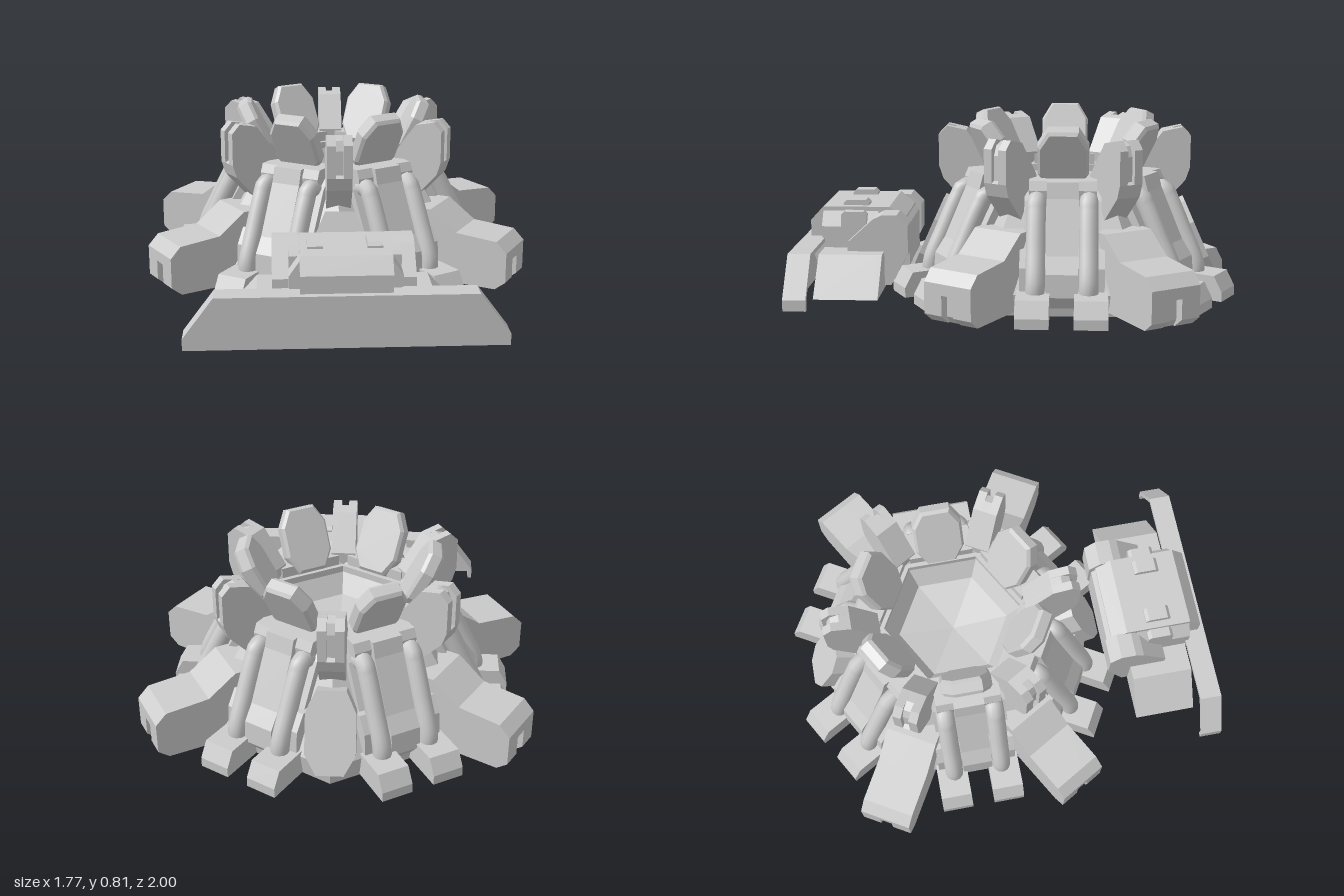
import * as THREE from 'three';

const material = new THREE.MeshStandardMaterial({ color: 0xcccccc, flatShading: true });
const smooth = new THREE.MeshStandardMaterial({ color: 0xcccccc });
const twoSided = new THREE.MeshStandardMaterial({ color: 0xcccccc, flatShading: true, side: THREE.DoubleSide });

const outline = (pts) => new THREE.Shape(pts.map(([x, y]) => new THREE.Vector2(x, y)));

function add(parent, name, geometry, x = 0, y = 0, z = 0, mat = material) {
  const mesh = new THREE.Mesh(geometry, mat);
  mesh.name = name;
  mesh.position.set(x, y, z);
  parent.add(mesh);
  return mesh;
}

// Slab whose side profile is given as (z, y), centred across x
function slab(profile, width) {
  const g = new THREE.ExtrudeGeometry(outline(profile), { depth: width, bevelEnabled: false });
  g.translate(0, 0, -width / 2);
  return g.rotateY(-Math.PI / 2);
}

// Front outline given as (x, y), extruded along z
const plate = (pts, depth) =>
  new THREE.ExtrudeGeometry(outline(pts), { depth, bevelEnabled: false });

// Three slabs side by side, the middle one recessed to form a slot
function slotted(parent, name, outer, inner, width, slot) {
  const cheek = (width - slot) / 2;
  for (const s of [-1, 1]) add(parent, name + 'Cheek', slab(outer, cheek), s * (slot + cheek) / 2);
  add(parent, name + 'Core', slab(inner, slot));
}

// Group turned about y, so its local +z points outwards
function sector(parent, name, degrees) {
  const g = new THREE.Group();
  g.name = name;
  g.rotation.y = THREE.MathUtils.degToRad(degrees);
  parent.add(g);
  return g;
}

function addPipeModule(parent) {
  add(parent, 'lowerBlock', slab([[.28, .02], [.57, .02], [.62, .1], [.61, .22], [.56, .29], [.28, .29]], .37));
  add(parent, 'buttress', slab([[.28, .2], [.58, .2], [.43, .48], [.38, .52], [.28, .52]], .34));
  add(parent, 'centrePanel', slab([[.28, .02], [.58, .02], [.65, .1], [.64, .2], [.59, .27], [.48, .5], [.46, .57], [.3, .57]], .14));
  add(parent, 'headBlock', slab([[.3, .45], [.44, .45], [.45, .53], [.43, .57], [.3, .57]], .3));
  const path = new THREE.CatmullRomCurve3([[.64, .08], [.638, .15], [.57, .3], [.5, .44], [.47, .485], [.42, .48]]
    .map(([r, y]) => new THREE.Vector3(0, y, r)));
  for (const s of [-1, 1]) {
    add(parent, 'pipe', new THREE.TubeGeometry(path, 24, .042, 12), s * .115, 0, 0, smooth);
    add(parent, 'foot', slab([[.56, .005], [.8, .005], [.8, .05], [.76, .12], [.56, .12]], .145), s * .125);
  }
}

function addPetal(parent) {
  const g = new THREE.ExtrudeGeometry(outline([
    [-.065, 0], [.065, 0], [.11, .08], [.11, .22], [.065, .3], [-.065, .3], [-.11, .22], [-.11, .08],
  ]), { depth: .045, bevelThickness: .015, bevelSize: .012, bevelOffset: -.008, bevelSegments: 1 });
  add(parent, 'petal', g, 0, .54, .28).rotation.x = .47;
}

function addPillar(parent) {
  slotted(parent, 'pillar',
    [[.35, .43], [.44, .365], [.57, .51], [.59, .57], [.59, .72], [.55, .76], [.46, .74], [.34, .58]],
    [[.35, .43], [.44, .365], [.57, .51], [.59, .57], [.57, .58], [.57, .69], [.55, .735], [.51, .75], [.46, .74], [.34, .58]],
    .115, .035);
}

function addArm(parent) {
  slotted(parent, 'arm',
    [[.3, .02], [.9, .02], [.95, .06], [.95, .2], [.9, .25], [.7, .265], [.57, .36], [.3, .36]],
    [[.3, .02], [.89, .02], [.91, .05], [.91, .14], [.95, .15], [.95, .2], [.9, .25], [.7, .265], [.57, .36], [.3, .36]],
    .24, .06);
}

function addCornerPlate(parent) {
  const g = plate([[-.06, 0], [.06, 0], [.11, .09], [.11, .27], [.065, .37], [-.065, .37], [-.11, .27], [-.11, .09]], .11);
  add(parent, 'cornerPlate', g, 0, .03, .62).rotation.x = -.42;
}

function addFrontUnit(parent) {
  // Blade: a front sheet with a rim behind it, open underneath
  const face = [[-.67, .03], [-.67, .08], [-.54, .255], [.54, .255], [.67, .08], [.67, .03]];
  const rim = [...face, [.65, .03], [.65, .075], [.53, .235], [-.53, .235], [-.65, .075], [-.65, .03]];
  add(parent, 'bladeFace', plate(face, .03), 0, 0, .97);
  add(parent, 'bladeRim', plate(rim, .072), 0, 0, .898);

  // Sloping sheet wings behind the blade, closed at the rear
  const wall = [[-.52, .04], [-.37, .21], [.37, .21], [.52, .04]];
  add(parent, 'wingWall', plate(wall, .02), 0, 0, .61);
  add(parent, 'wings', plate([...wall, [.49, .04], [.36, .19], [-.36, .19], [-.49, .04]], .27), 0, 0, .63);

  // Cabin with chamfered sides and nose
  add(parent, 'cabin', slab([[.55, .04], [.92, .04], [.97, .2], [.97, .33], [.91, .395], [.6, .395], [.53, .34], [.53, .1]], .38));
  add(parent, 'cabinSides', plate([[-.2, .04], [.2, .04], [.235, .1], [.235, .31], [.18, .39], [-.18, .39], [-.235, .31], [-.235, .1]], .26), 0, 0, .65);
  add(parent, 'rearStep', slab([[.51, .12], [.62, .12], [.62, .36], [.56, .36], [.51, .31]], .36));

  const hatch = [[.7, .34], [.82, .34], [.82, .405], [.805, .42], [.715, .42], [.7, .405]];
  for (const s of [-1, 1]) {
    add(parent, 'sidePod', slab([[.5, .2], [.58, .05], [.78, .05], [.78, .25], [.66, .36], [.62, .38], [.55, .38], [.5, .33]], .12), s * .245);
    add(parent, 'topHatch', slab(hatch, .065), s * .125);
    add(parent, 'sideHatch', slab(hatch, .05), s * .21, -.04);
  }
}

export function createModel() {
  const model = new THREE.Group();
  model.name = 'fortifiedBase';

  const base = new THREE.Group();
  base.name = 'base';
  base.position.z = -.21;
  model.add(base);

  // Six-sided hull with a sunken pit at the top
  const hull = new THREE.LatheGeometry([
    [0, 0], [.68, 0], [.7, .1], [.62, .22], [.43, .5], [.36, .54], [.26, .4], [0, .36],
  ].map(([r, y]) => new THREE.Vector2(r, y)), 6);
  add(base, 'hull', hull, 0, 0, 0, twoSided);

  for (let i = 0; i < 6; i++) {
    const face = sector(base, 'pipeModule', 30 + i * 60);
    addPipeModule(face);
    addPetal(face);

    const corner = sector(base, 'corner', i * 60);
    addPillar(corner);
    if (i % 3 === 0) addCornerPlate(corner);
    else addArm(corner);
  }

  const front = new THREE.Group();
  front.name = 'frontUnit';
  model.add(front);
  addFrontUnit(front);
  return model;
}
